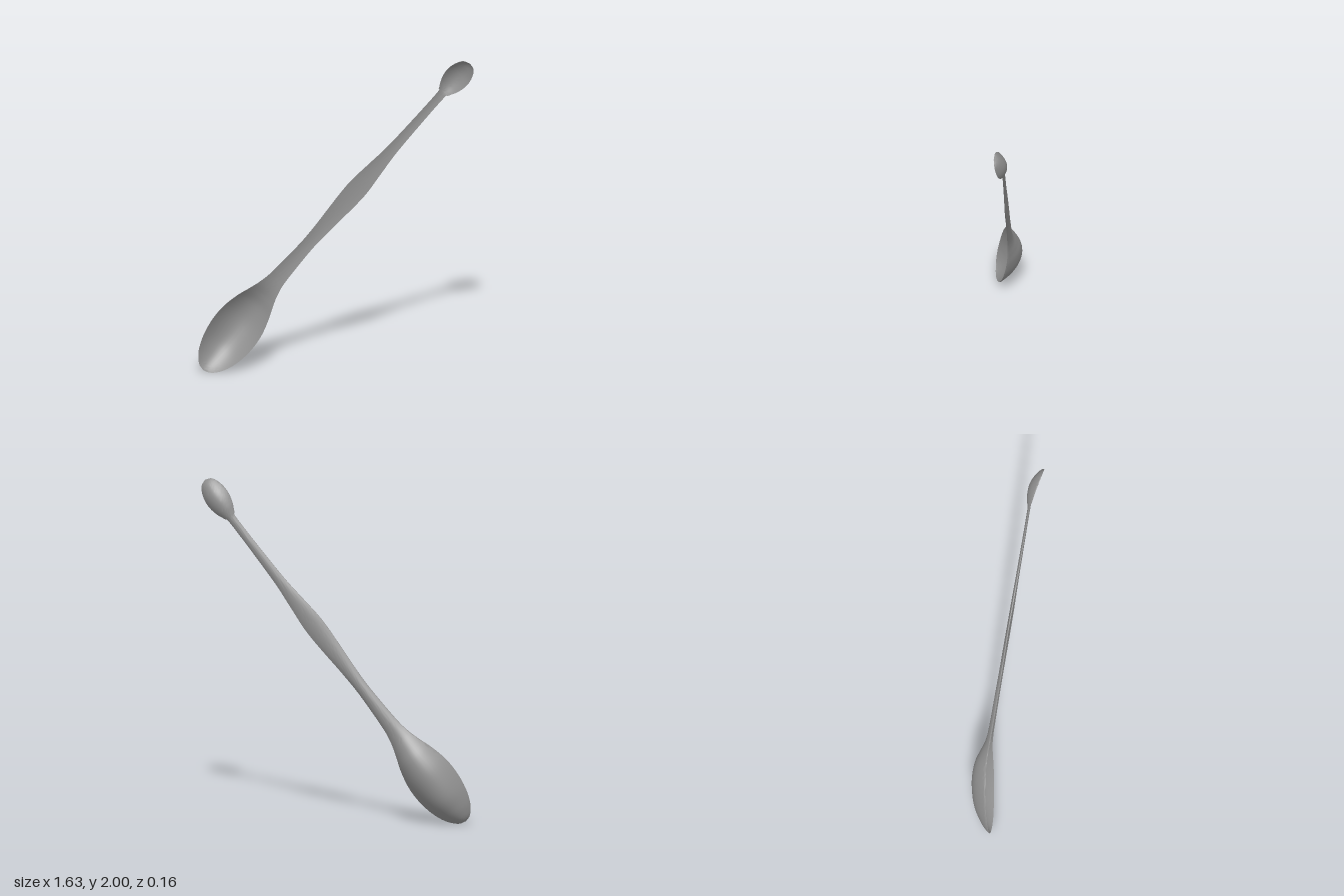
import * as THREE from 'three';
import { toCreasedNormals } from 'three/addons/utils/BufferGeometryUtils.js';

// Stations along the spoon: [position, half width, rim z, front centre z, back centre z]
const STATIONS = [
  [-1.268, 0.0, 0.08, 0.08, 0.08],
  [-1.258, 0.036, 0.079, 0.068, 0.058],
  [-1.23, 0.069, 0.075, 0.042, 0.031],
  [-1.18, 0.103, 0.066, 0.009, -0.003],
  [-1.1, 0.132, 0.052, -0.031, -0.044],
  [-1.0, 0.147, 0.036, -0.056, -0.07],
  [-0.9, 0.143, 0.02, -0.068, -0.083],
  [-0.8, 0.119, 0.006, -0.061, -0.078],
  [-0.72, 0.09, -0.001, -0.039, -0.057],
  [-0.64, 0.065, -0.003, -0.018, -0.037],
  [-0.54, 0.049, -0.003, -0.011, -0.03],
  [-0.3, 0.038, -0.003, -0.009, -0.027],
  [-0.15, 0.042, -0.003, -0.008, -0.025],
  [0.0, 0.052, -0.003, -0.008, -0.024],
  [0.12, 0.059, -0.003, -0.008, -0.023],
  [0.22, 0.059, -0.003, -0.008, -0.022],
  [0.36, 0.046, -0.003, -0.008, -0.021],
  [0.55, 0.031, -0.003, -0.007, -0.019],
  [0.95, 0.025, -0.003, -0.007, -0.017],
  [1.0, 0.036, 0.0, -0.012, -0.021],
  [1.05, 0.059, 0.006, -0.022, -0.03],
  [1.105, 0.073, 0.014, -0.025, -0.033],
  [1.16, 0.073, 0.023, -0.017, -0.025],
  [1.212, 0.058, 0.033, 0.004, -0.003],
  [1.244, 0.036, 0.039, 0.025, 0.019],
  [1.259, 0.0, 0.043, 0.043, 0.043],
];
const STEPS = 6; // rings per station
const SIDE = 20; // segments across each face
const AXIS = [0.63, 0.777]; // diagonal lean of the spoon
const MID_Y = 1.01;

const outline = new THREE.CatmullRomCurve3(
  STATIONS.map(([s, w, rim]) => new THREE.Vector3(s, w, rim)), false, 'catmullrom', 0.5);
const depth = new THREE.CatmullRomCurve3(
  STATIONS.map(([, , , f, b]) => new THREE.Vector3(f, b, 0)), false, 'catmullrom', 0.5);

// One closed cross-section: concave front, then arched back
function ring(u) {
  const { x: s, y, z: rim } = outline.getPoint(u);
  const { x: front, y: back } = depth.getPoint(u);
  const w = Math.max(y, 0);
  const edge = 0.006 * Math.min(1, w / 0.04); // rim thickness
  const shift = -0.02 * THREE.MathUtils.smoothstep(-s, 0.54, 1.26); // large bowl bends slightly sideways
  const points = [];
  for (let side = 0; side < 2; side++) {
    for (let k = 0; k <= SIDE; k++) {
      const t = Math.cos((k / SIDE) * Math.PI) * (side ? -1 : 1);
      const lip = side ? rim - edge : rim;
      const z = lip + ((side ? back : front) - lip) * (1 - t * t);
      const n = shift + w * t;
      points.push(AXIS[0] * s - AXIS[1] * n, MID_Y + AXIS[1] * s + AXIS[0] * n, z);
    }
  }
  return points;
}

// Skin the cross-sections between two stations
function loft(from, to) {
  const count = (to - from) * STEPS;
  const around = 2 * (SIDE + 1);
  const positions = [];
  const index = [];
  for (let i = 0; i <= count; i++) {
    positions.push(...ring((from + i / STEPS) / (STATIONS.length - 1)));
    if (i === count) break;
    for (let j = 0; j < around; j++) {
      const a = i * around + j;
      const b = i * around + ((j + 1) % around);
      index.push(a, b, b + around, a, b + around, a + around);
    }
  }
  const geometry = new THREE.BufferGeometry();
  geometry.setAttribute('position', new THREE.Float32BufferAttribute(positions, 3));
  geometry.setIndex(index);
  return toCreasedNormals(geometry, 0.9);
}

export function createModel() {
  const group = new THREE.Group();
  group.name = 'doubleEndedSpoon';
  const material = new THREE.MeshStandardMaterial({ color: 0x909090, side: THREE.DoubleSide });
  const parts = [['largeBowl', 0, 10], ['handle', 10, 18], ['smallBowl', 18, STATIONS.length - 1]];
  for (const [name, from, to] of parts) {
    const mesh = new THREE.Mesh(loft(from, to), material);
    mesh.name = name;
    group.add(mesh);
  }
  return group;
}
